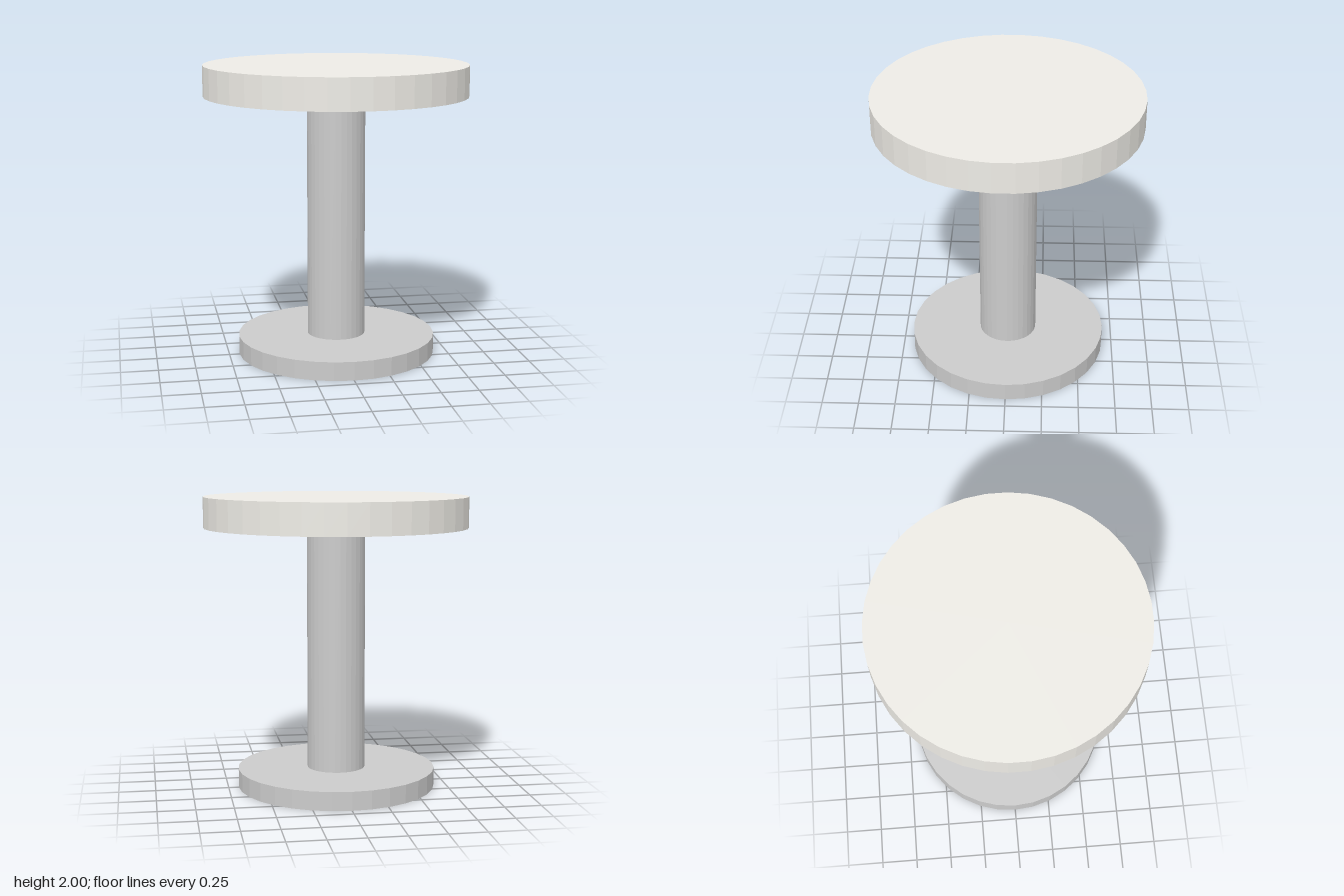
import * as THREE from 'three';

export function createModel() {
  const group = new THREE.Group();
  const grey = new THREE.MeshStandardMaterial({ color: 0xcccccc, flatShading: true });
  const pale = new THREE.MeshStandardMaterial({ color: 0xeeece6, flatShading: true });

  // Upright disc or post between two heights
  function disc(name, radius, bottom, top, sides, material, turn = 0) {
    const geometry = new THREE.CylinderGeometry(radius, radius, top - bottom, sides, 1, false, turn);
    const mesh = new THREE.Mesh(geometry, material);
    mesh.name = name;
    mesh.position.y = (bottom + top) / 2;
    group.add(mesh);
  }

  disc('base', 0.68, 0, 0.127, 32, grey);
  disc('column', 0.198, 0.127, 1.79, 32, grey);
  disc('tableTop', 0.897, 1.79, 2, 40, pale, Math.PI / 40);

  return group;
}
